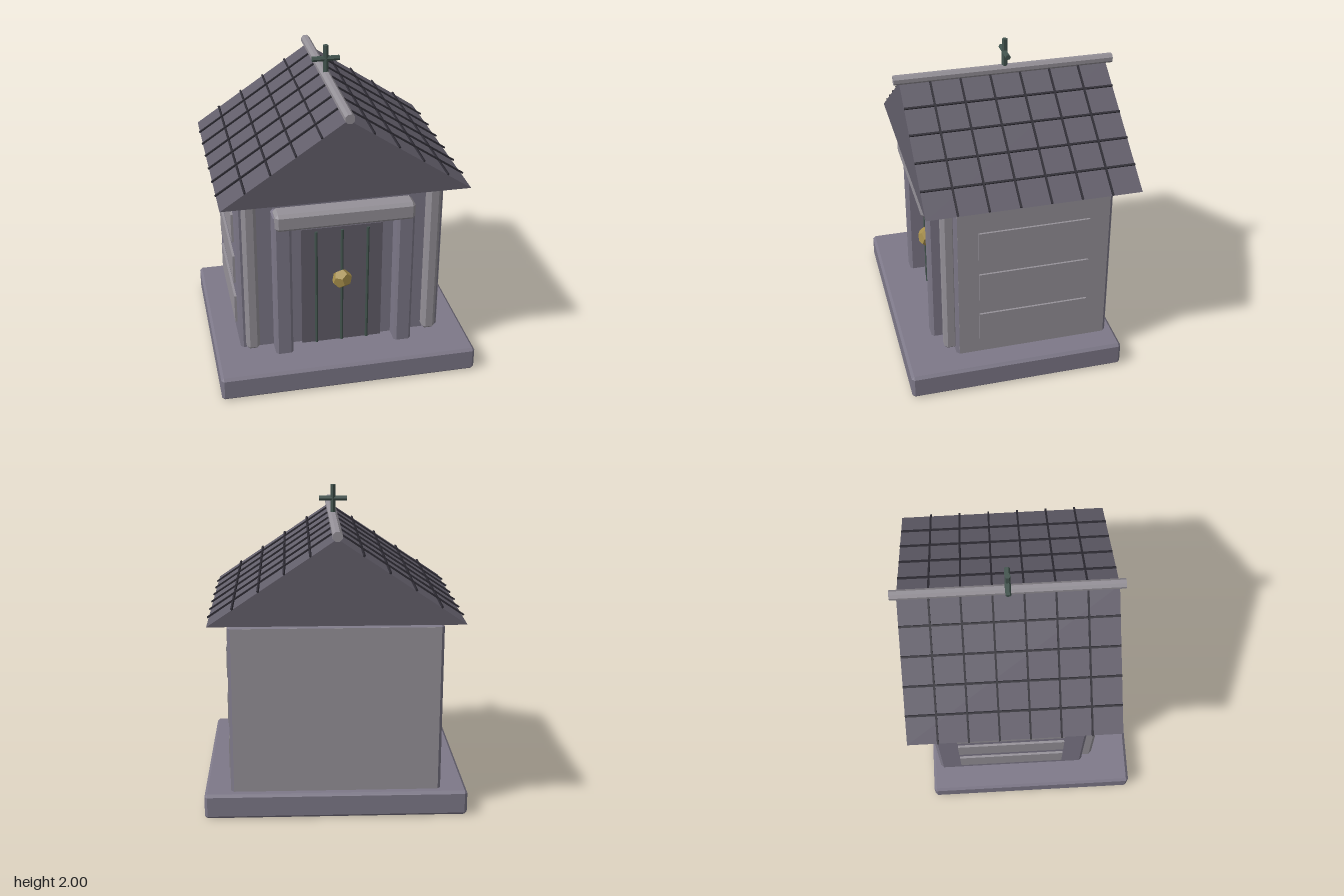
import * as THREE from 'three';
import { ConvexGeometry } from 'three/addons/geometries/ConvexGeometry.js';

const mat = (color) => new THREE.MeshStandardMaterial({ color, flatShading: true });
const STONE = mat(0x7d7888), PALE = mat(0x959198), DARK = mat(0x625e6a);
const SEAM = mat(0x2e2c34), IRON = mat(0x42544e), BRASS = mat(0xa8904c);

// Box with every edge chamfered by c, given as min/max ranges
function chamferBox([x0, x1], [y0, y1], [z0, z1], c) {
  const h = [(x1 - x0) / 2, (y1 - y0) / 2, (z1 - z0) / 2];
  const points = [];
  for (const sx of [-1, 1]) for (const sy of [-1, 1]) for (const sz of [-1, 1]) {
    for (let axis = 0; axis < 3; axis++) {
      const e = h.map((v, i) => (i === axis ? v : v - c));
      points.push(new THREE.Vector3(sx * e[0], sy * e[1], sz * e[2]));
    }
  }
  return new ConvexGeometry(points).translate((x0 + x1) / 2, (y0 + y1) / 2, (z0 + z1) / 2);
}

function box([x0, x1], [y0, y1], [z0, z1]) {
  return new THREE.BoxGeometry(x1 - x0, y1 - y0, z1 - z0)
    .translate((x0 + x1) / 2, (y0 + y1) / 2, (z0 + z1) / 2);
}

export function createModel() {
  const model = new THREE.Group();
  const add = (name, geometry, material, parent = model) => {
    const mesh = new THREE.Mesh(geometry, material);
    mesh.name = name;
    parent.add(mesh);
    return mesh;
  };

  // Plinth and chamber
  add('base', chamferBox([-0.82, 0.82], [0, 0.16], [-0.62, 0.745], 0.017), STONE);
  add('chamber', chamferBox([-0.655, 0.655], [0.14, 1.23], [-0.565, 0.425], 0.018), STONE);
  add('backWall', box([-0.637, 0.637], [0.16, 1.212], [-0.567, -0.56]), PALE);
  add('sideWall', box([0.65, 0.657], [0.16, 1.212], [-0.547, 0.407]), PALE);

  // Three raised panels on each side wall
  for (const s of [-1, 1]) {
    for (let i = 0; i < 3; i++) {
      const y = 0.36 + i * 0.3;
      const panel = add('sidePanel', box([-0.012, 0.012], [y - 0.098, y + 0.098], [-0.42, 0.278]), PALE);
      panel.position.x = s * 0.658;
    }
    // Corner columns and door pilasters
    const column = add('cornerColumn', chamferBox([-0.043, 0.043], [0.18, 1.25], [0.41, 0.495], 0.02), PALE);
    column.position.x = s * 0.58;
    const pilaster = add('doorPilaster', chamferBox([-0.056, 0.056], [0.14, 1.16], [0.42, 0.545], 0.016), STONE);
    pilaster.position.x = s * 0.387;
  }

  // Doorway
  add('lintel', chamferBox([-0.435, 0.435], [1.065, 1.18], [0.45, 0.58], 0.02), PALE);
  add('doorFrame', box([-0.335, 0.335], [0.16, 1.1], [0.41, 0.435]), STONE);
  add('door', box([-0.26, 0.26], [0.16, 1.0], [0.42, 0.455]), DARK);
  for (const x of [-0.165, 0, 0.165]) {
    const bar = add('doorBar', new THREE.CylinderGeometry(0.01, 0.01, 0.82, 6), IRON);
    bar.position.set(x, 0.57, 0.458);
  }
  const knob = add('doorKnob', new THREE.DodecahedronGeometry(0.066), BRASS);
  knob.position.set(-0.005, 0.638, 0.485);
  knob.scale.z = 0.75;
  knob.rotation.z = 0.3;

  // Gabled roof block
  const halfW = 0.765, eaves = 1.265, apex = 1.78, z0 = -0.705, z1 = 0.61;
  const gable = new THREE.Shape();
  gable.moveTo(-halfW, eaves);
  gable.lineTo(halfW, eaves);
  gable.lineTo(0, apex);
  gable.closePath();
  add('roof', new THREE.ExtrudeGeometry(gable, { depth: z1 - z0, bevelEnabled: false })
    .translate(0, 0, z0), DARK);

  // Seams dividing each slope into 5 x 7 slabs
  const length = Math.hypot(halfW, apex - eaves);
  const angle = Math.atan2(apex - eaves, halfW);
  for (const s of [-1, 1]) {
    const slope = new THREE.Group();
    slope.name = 'roofSeams';
    slope.position.y = apex;
    slope.rotation.set(0, s < 0 ? Math.PI : 0, -angle, 'YXZ');
    model.add(slope);
    const zMid = s * (z0 + z1) / 2;
    for (let i = 1; i < 7; i++) {
      const z = s * (z0 + (z1 - z0) * i / 7);
      add('slopeSeam', box([0.02, length], [0.006, 0.016], [z - 0.006, z + 0.006]), SEAM, slope);
    }
    for (let i = 1; i < 5; i++) {
      const x = length * i / 5;
      add('courseSeam', box([x - 0.006, x + 0.006], [-0.002, 0.01],
        [zMid - (z1 - z0) / 2, zMid + (z1 - z0) / 2]), SEAM, slope);
    }
  }

  // Ridge pole
  const ridge = add('ridgePole', new THREE.CylinderGeometry(0.031, 0.031, 1.39, 8), PALE);
  ridge.rotation.set(Math.PI / 2, Math.PI / 8, 0);
  ridge.position.set(0, 1.8, -0.05);

  // Cross on the ridge
  const upright = add('crossUpright', new THREE.CylinderGeometry(0.018, 0.018, 0.2, 6), IRON);
  upright.position.set(0, 1.9, -0.05);
  const arm = add('crossArm', new THREE.CylinderGeometry(0.017, 0.017, 0.174, 6), IRON);
  arm.rotation.z = Math.PI / 2;
  arm.position.set(0, 1.913, -0.05);

  return model;
}
